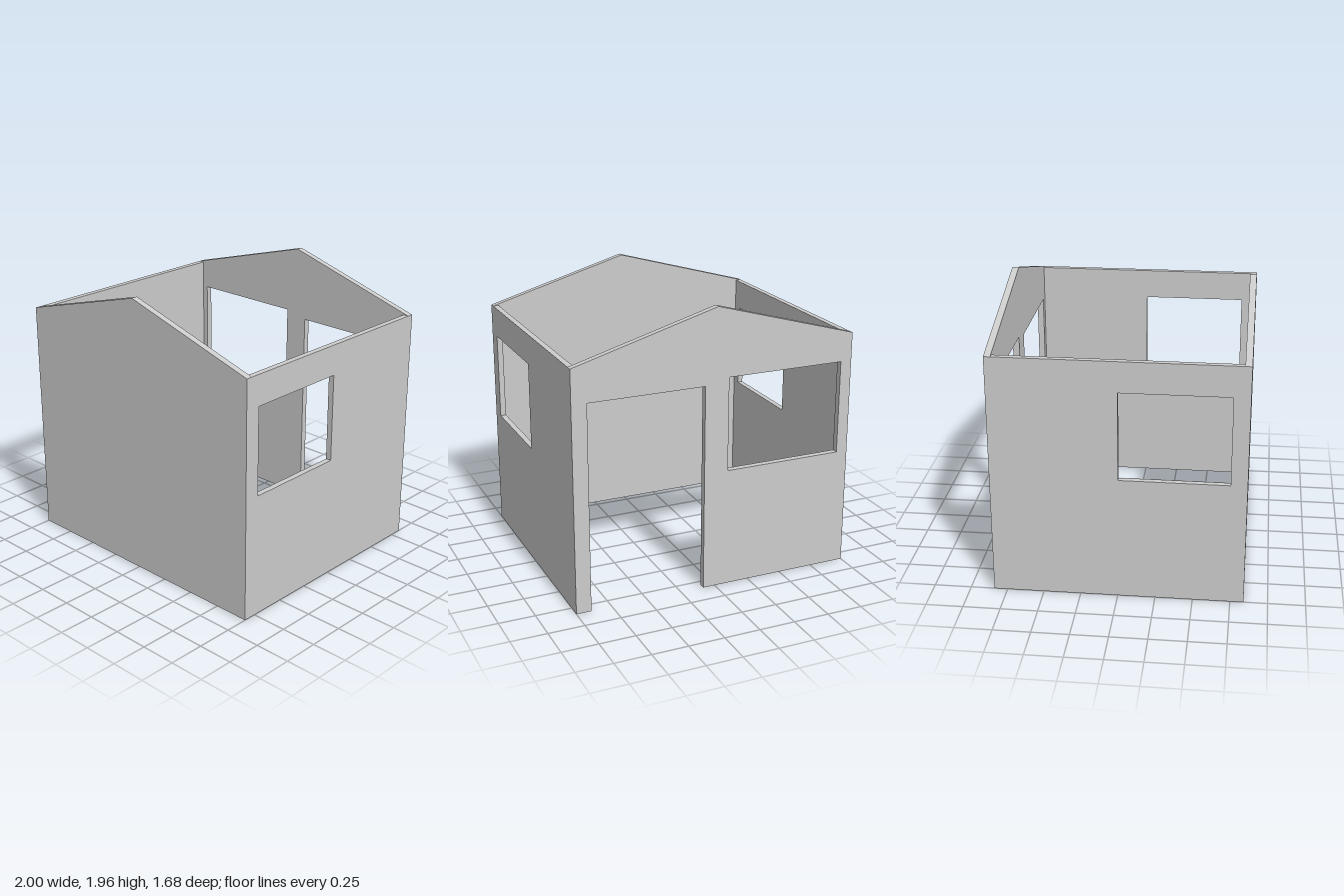
import * as THREE from 'three';

const W = 1, D = 0.84;            // half width, half depth
const EAVE = 1.675, APEX = 1.96;  // wall heights
const T_GABLE = 0.045, T_SIDE = 0.04;

const polygon = (points) => new THREE.Shape(points.map(([x, y]) => new THREE.Vector2(x, y)));

// Rectangular opening to cut out of a wall shape
function rectHole(x0, x1, y0, y1) {
  return new THREE.Path([[x0, y0], [x0, y1], [x1, y1], [x1, y0]].map(([x, y]) => new THREE.Vector2(x, y)));
}

const slab = (shape, depth) => new THREE.ExtrudeGeometry(shape, { depth, bevelEnabled: false });

export function createModel() {
  const group = new THREE.Group();
  const material = new THREE.MeshStandardMaterial({ color: 0xcccccc, flatShading: true });

  function add(name, geometry) {
    const mesh = new THREE.Mesh(geometry, material);
    mesh.name = name;
    group.add(mesh);
  }

  // Solid front gable wall
  const roofLine = [[W, EAVE], [0, APEX], [-W, EAVE]];
  const front = polygon([[-W, 0], [W, 0], ...roofLine]);
  add('frontWall', slab(front, T_GABLE).translate(0, 0, D - T_GABLE));

  // Back gable wall: doorway open to the floor, plus a window
  const [doorL, doorR, doorTop] = [0.085, 0.895, 1.44];
  const back = polygon([
    [-W, 0], [doorL, 0], [doorL, doorTop], [doorR, doorTop], [doorR, 0], [W, 0], ...roofLine,
  ]);
  back.holes.push(rectHole(-0.92, -0.085, 0.83, 1.48));
  add('backWall', slab(back, T_GABLE).translate(0, 0, -D));

  // Side walls fitted between the gables, each with a window towards the front
  const end = D - T_GABLE;
  const side = polygon([[-end, 0], [end, 0], [end, EAVE], [-end, EAVE]]);
  side.holes.push(rectHole(0.005, 0.73, 0.857, 1.465));
  for (const [name, x] of [['leftWall', W], ['rightWall', -W + T_SIDE]]) {
    add(name, slab(side, T_SIDE).rotateY(-Math.PI / 2).translate(x, 0, 0));
  }

  return group;
}
